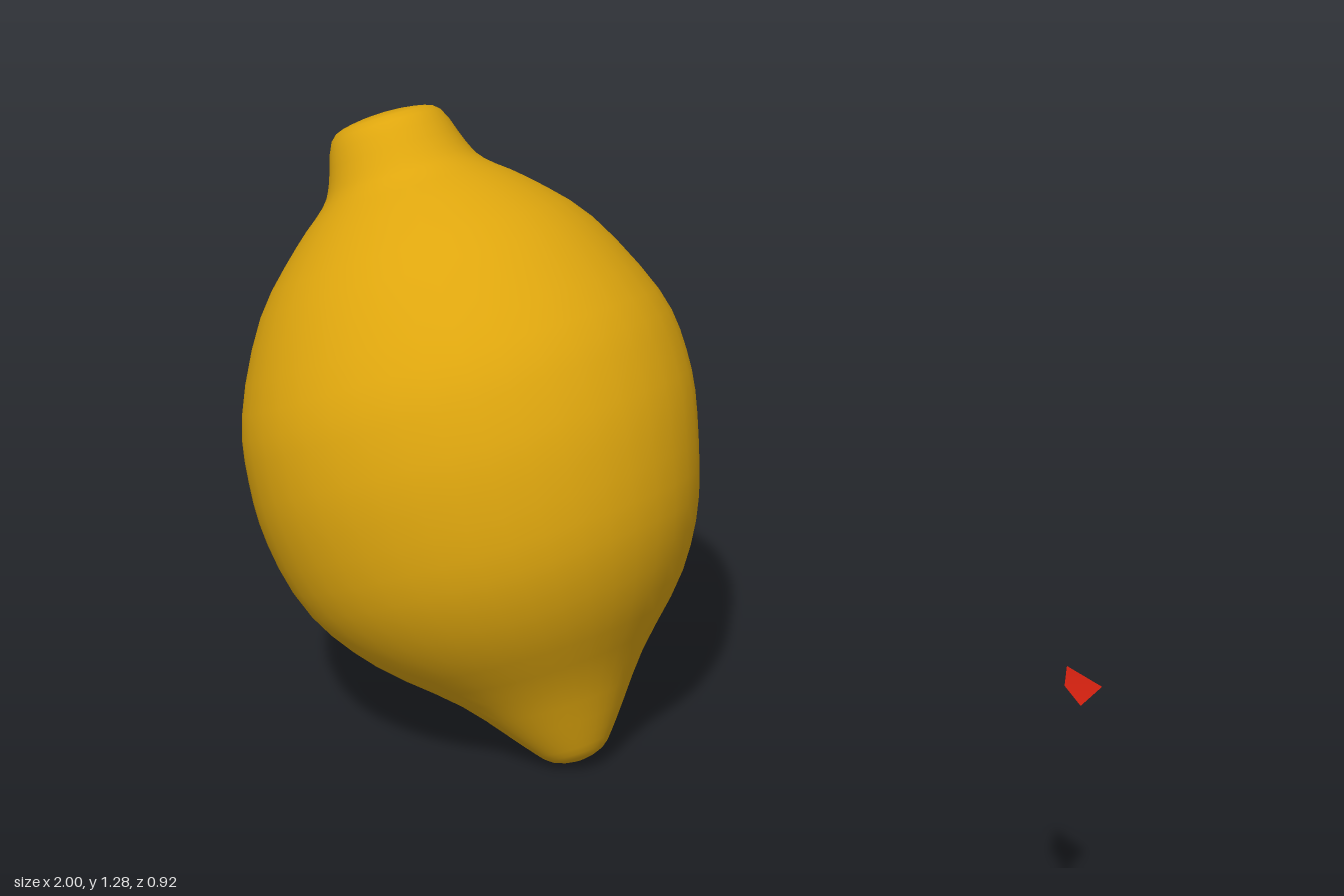
import * as THREE from 'three';

export function createModel() {
  const group = new THREE.Group();
  const lemonYellow = new THREE.MeshStandardMaterial({ color: 0xdea60e });
  const red = new THREE.MeshStandardMaterial({ color: 0xd0200f, side: THREE.DoubleSide });

  // Lemon: turned profile (radius, height along the axis), pointed tip below, blunt stem knob above
  const profile = [
    [0, 0.002], [0.055, 0.018], [0.098, 0.065], [0.193, 0.185], [0.325, 0.315],
    [0.41, 0.45], [0.451, 0.61], [0.457, 0.74], [0.434, 0.87], [0.345, 1.045],
    [0.24, 1.157], [0.168, 1.217], [0.142, 1.26], [0.113, 1.335], [0.07, 1.355], [0, 1.362],
  ].map(([r, t]) => new THREE.Vector2(r, t));
  const points = new THREE.SplineCurve(profile).getPoints(45);
  points.forEach((p) => { p.x = Math.max(p.x, 0); });
  const body = new THREE.LatheGeometry(points, 40);

  // Slight natural unevenness: belly sags to one side, knob leans back
  const pos = body.attributes.position;
  for (let i = 0; i < pos.count; i++) {
    const t = pos.getY(i);
    pos.setX(i, pos.getX(i) - 0.032 * Math.exp(-(((t - 0.5) / 0.22) ** 2)));
    pos.setZ(i, pos.getZ(i) - 0.012 * THREE.MathUtils.smoothstep(t, 0.9, 1.25));
  }
  const lemon = new THREE.Mesh(body, lemonYellow);
  lemon.name = 'lemon';
  lemon.position.set(-0.25, 0, 0);
  lemon.rotation.z = 0.417;
  group.add(lemon);

  // Small loose red flake, nearly level, at the far side
  const flakeGeometry = new THREE.BufferGeometry();
  flakeGeometry.setAttribute('position', new THREE.Float32BufferAttribute([
    0.895, 0.605, -0.04,
    0.945, 0.613, 0.035,
    1.0, 0.607, 0.065,
    0.985, 0.607, -0.015,
  ], 3));
  flakeGeometry.setIndex([0, 1, 3, 1, 2, 3]);
  flakeGeometry.computeVertexNormals();
  const flake = new THREE.Mesh(flakeGeometry, red);
  flake.name = 'redFlake';
  group.add(flake);

  return group;
}
